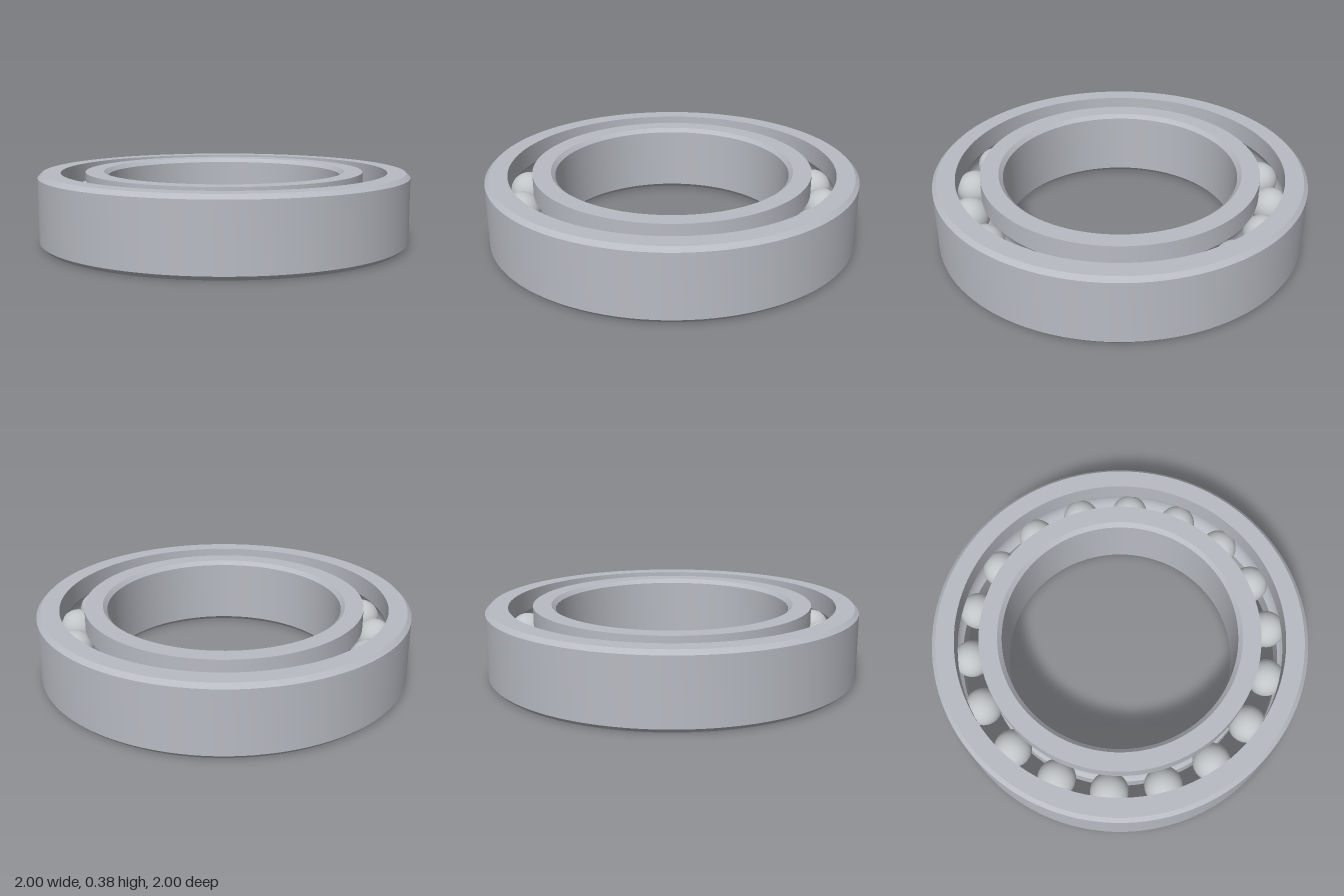
import * as THREE from 'three';
import { toCreasedNormals } from 'three/addons/utils/BufferGeometryUtils.js';

const HEIGHT = 0.384, MID = HEIGHT / 2, CHAMFER = 0.022;
const PITCH = 0.815, BALL_RADIUS = 0.101, BALL_COUNT = 18;
const GROOVE_RADIUS = 0.103;

// Round raceway cut into a wall at radius r, swept from angle a0 to a1
function raceway(a0, a1, steps = 12) {
  return Array.from({ length: steps + 1 }, (_, i) => {
    const a = a0 + ((a1 - a0) * i) / steps;
    return [PITCH + GROOVE_RADIUS * Math.cos(a), MID + GROOVE_RADIUS * Math.sin(a)];
  });
}

// Turned ring from a closed counter-clockwise (radius, height) profile
function turnedRing(name, profile, material) {
  const points = [...profile, profile[0]].map(([r, y]) => new THREE.Vector2(r, y));
  const mesh = new THREE.Mesh(toCreasedNormals(new THREE.LatheGeometry(points, 112), 0.35), material);
  mesh.name = name;
  return mesh;
}

export function createModel() {
  const ringSteel = new THREE.MeshStandardMaterial({ color: 0xb8bbc2 });
  ringSteel.name = 'ring steel';
  const ballSteel = new THREE.MeshStandardMaterial({ color: 0xc2c5c8 });
  ballSteel.name = 'ball steel';

  const group = new THREE.Group();
  group.name = 'ballBearing';

  // Outer ring: chamfered rim, raceway facing inward
  const outerR = 1, outerWall = 0.88;
  const b = Math.acos((outerWall - PITCH) / GROOVE_RADIUS);
  group.add(turnedRing('outerRing', [
    [outerWall, 0], [outerR - CHAMFER, 0], [outerR, CHAMFER],
    [outerR, HEIGHT - CHAMFER], [outerR - CHAMFER, HEIGHT], [outerWall, HEIGHT],
    ...raceway(b, -b),
  ], ringSteel));

  // Inner ring: chamfered bore, raceway facing outward
  const boreR = 0.63, innerWall = 0.75;
  const c = Math.acos((innerWall - PITCH) / GROOVE_RADIUS);
  group.add(turnedRing('innerRing', [
    [boreR + CHAMFER, 0], [innerWall, 0],
    ...raceway(2 * Math.PI - c, c),
    [innerWall, HEIGHT], [boreR + CHAMFER, HEIGHT],
    [boreR, HEIGHT - CHAMFER], [boreR, CHAMFER],
  ], ringSteel));

  // Balls evenly spaced between the rings
  const balls = new THREE.Group();
  balls.name = 'balls';
  const ballGeometry = new THREE.SphereGeometry(BALL_RADIUS, 32, 20);
  for (let i = 0; i < BALL_COUNT; i++) {
    const a = (i / BALL_COUNT) * Math.PI * 2;
    const ball = new THREE.Mesh(ballGeometry, ballSteel);
    ball.name = 'ball' + (i + 1);
    ball.position.set(PITCH * Math.cos(a), MID, PITCH * Math.sin(a));
    balls.add(ball);
  }
  group.add(balls);
  return group;
}
